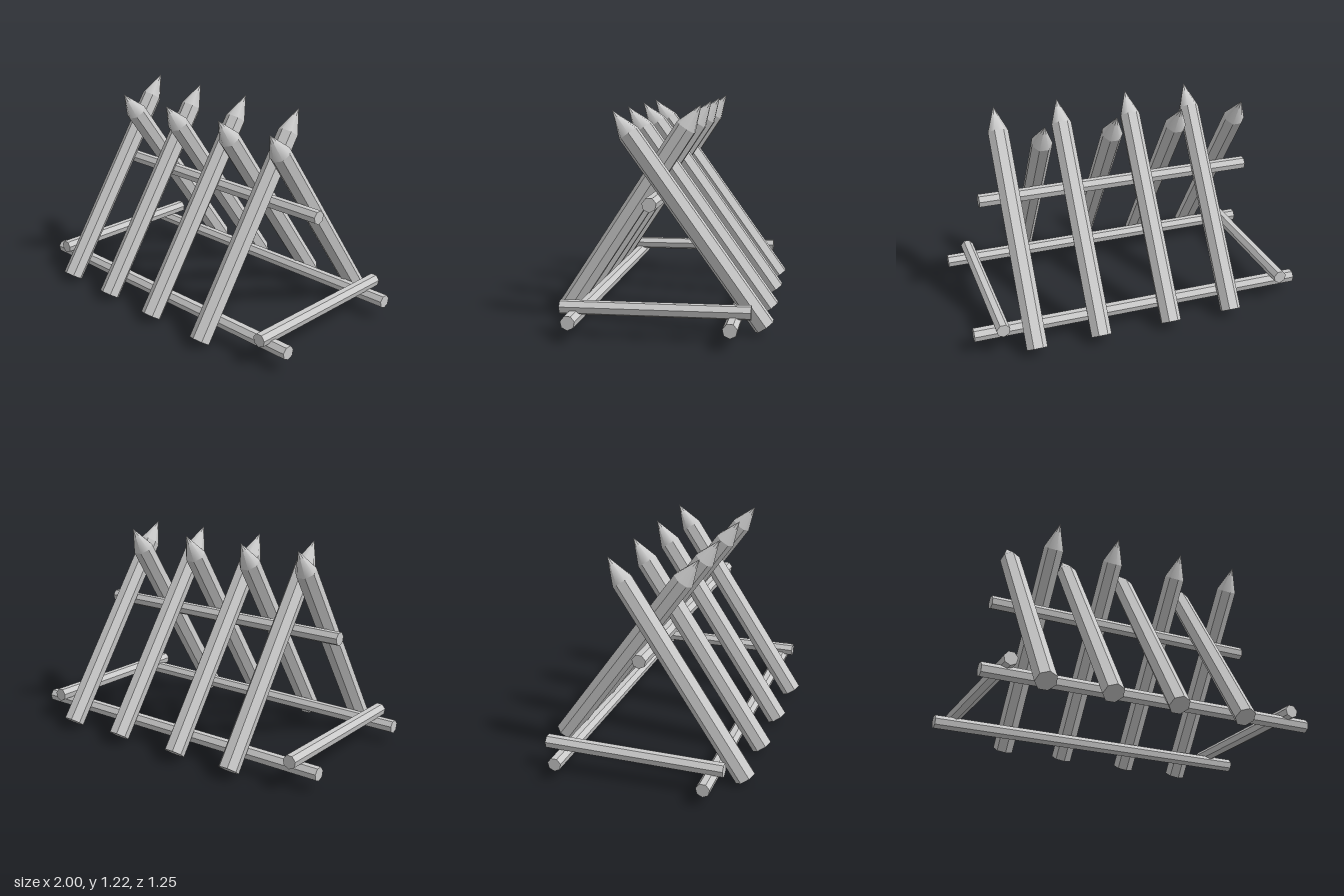
import * as THREE from 'three';

const SIDES = 7;
const UP = new THREE.Vector3(0, 1, 0);

export function createModel() {
  const model = new THREE.Group();
  const flat = new THREE.MeshStandardMaterial({ color: 0xcccccc, flatShading: true });
  const smooth = new THREE.MeshStandardMaterial({ color: 0xcccccc });

  // A seven-sided pole between two points; spin turns its facets about its axis
  function pole(name, from, to, radius, parent = model, spin = 0) {
    const a = new THREE.Vector3(...from);
    const b = new THREE.Vector3(...to);
    const dir = b.clone().sub(a);
    const geometry = new THREE.CylinderGeometry(radius, radius, dir.length(), SIDES, 1, false, spin);
    const mesh = new THREE.Mesh(geometry, flat);
    mesh.name = name;
    mesh.position.copy(a).add(b).multiplyScalar(0.5);
    mesh.quaternion.setFromUnitVectors(UP, dir.normalize());
    parent.add(mesh);
    return mesh;
  }

  // A leaning stake: flat-sided shaft with a smooth sharpened point
  function stake(name, x, base, tip) {
    const radius = 0.0615, pointLength = 0.152;
    const group = new THREE.Group();
    group.name = name;
    const a = new THREE.Vector3(x, ...base);
    const b = new THREE.Vector3(x, ...tip);
    const dir = b.clone().sub(a).normalize();
    const shoulder = b.clone().addScaledVector(dir, -pointLength);
    const shaft = pole('shaft', a.toArray(), shoulder.toArray(), radius, group);

    const point = new THREE.Mesh(new THREE.ConeGeometry(radius, pointLength, SIDES, 1, true), smooth);
    point.name = 'point';
    point.position.copy(b).addScaledVector(dir, -pointLength / 2);
    point.quaternion.copy(shaft.quaternion);
    group.add(point);
    model.add(group);
  }

  // Two crossing rows of stakes, given as [y, z] of base and tip
  for (const x of [-0.695, -0.32, 0.07, 0.485]) stake('frontStake', x, [0.04, 0.577], [1.225, -0.2]);
  for (const x of [-0.52, -0.135, 0.295, 0.675]) stake('backStake', x, [0.052, -0.575], [1.2, 0.252]);

  // Long rails: one under the crossing, two near the ground
  const r = 0.04, quarter = Math.PI / 2;
  pole('ridgeRail', [-0.842, 0.713, 0.022], [0.842, 0.721, 0.022], r, model, quarter);
  pole('frontRail', [-1, 0.106, 0.425], [1, 0.116, 0.425], r, model, quarter);
  pole('backRail', [-1, 0.106, -0.422], [1, 0.116, -0.422], r, model, quarter);

  // Short ties resting across the ground rails at each end
  pole('rightTie', [-0.873, 0.173, -0.517], [-0.861, 0.163, 0.502], r);
  pole('leftTie', [0.846, 0.173, -0.517], [0.859, 0.163, 0.502], r);

  return model;
}
